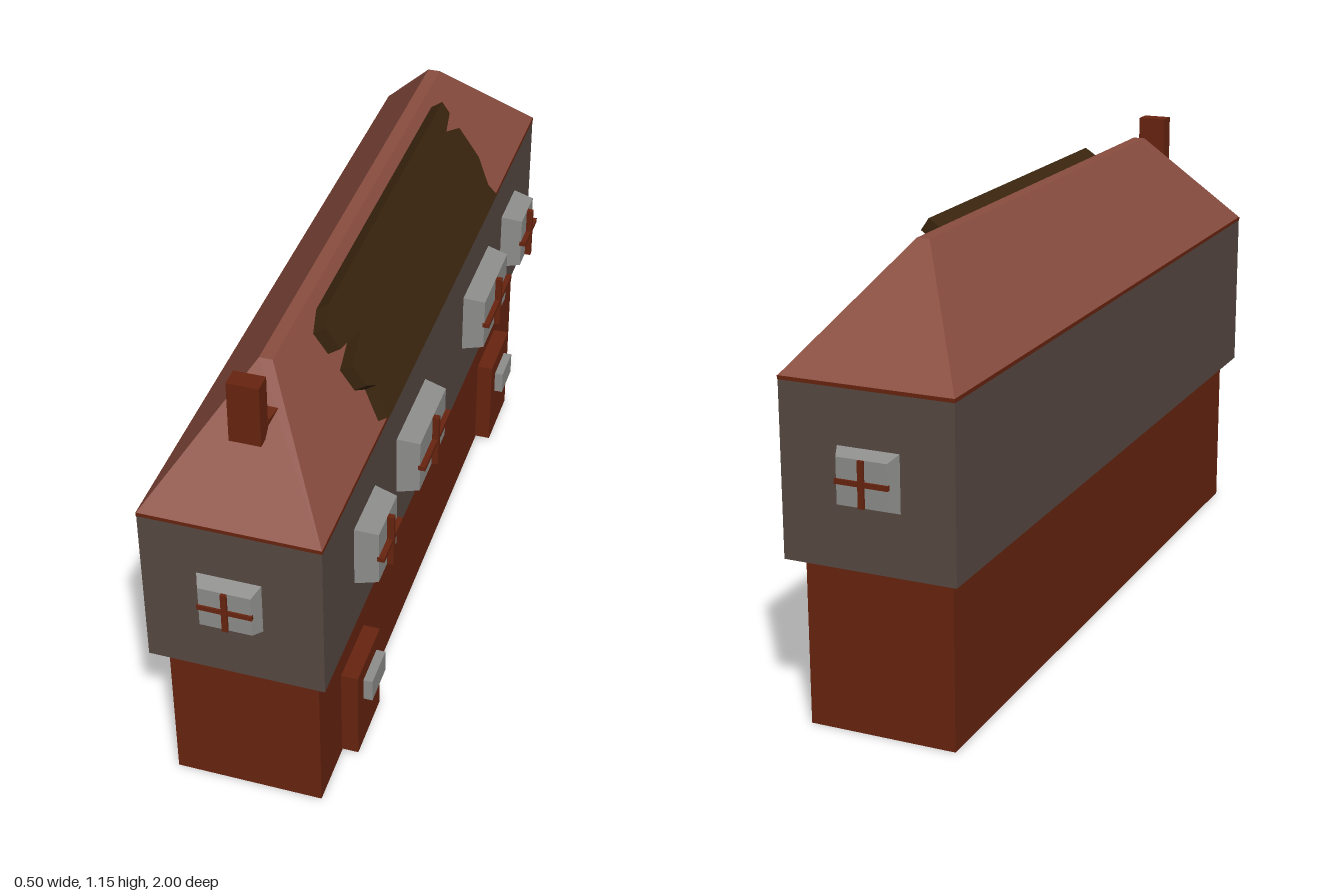
import * as THREE from 'three';
import { ConvexGeometry } from 'three/addons/geometries/ConvexGeometry.js';

const mat = (name, color) => Object.assign(new THREE.MeshStandardMaterial({ color }), { name });

export function createModel() {
  const brick = mat('brick red', 0x68240f);
  const plaster = mat('grey brown plaster', 0x584943);
  const tile = mat('roof tile', 0x8a4d40);
  const glass = mat('window grey', 0x8e8e8c);
  const wood = mat('dark wood', 0x3a250e);

  const model = new THREE.Group();
  model.name = 'house';

  const add = (name, geometry, material, parent = model) => {
    const mesh = new THREE.Mesh(geometry, material);
    mesh.name = name;
    parent.add(mesh);
    return mesh;
  };
  // Box given by its minimum and maximum corners
  const box = (name, material, [x0, y0, z0], [x1, y1, z1], parent) => {
    const mesh = add(name, new THREE.BoxGeometry(x1 - x0, y1 - y0, z1 - z0), material, parent);
    mesh.position.set((x0 + x1) / 2, (y0 + y1) / 2, (z0 + z1) / 2);
    return mesh;
  };
  const hull = (points) => new ConvexGeometry(points.map((p) => new THREE.Vector3(...p)));

  // Storeys and eaves
  box('groundFloor', brick, [-0.22, 0, -0.915], [0.148, 0.43, 0.915]);
  box('upperFloor', plaster, [-0.25, 0.42, -0.96], [0.178, 0.842, 0.96]);
  box('eaves', brick, [-0.251, 0.841, -0.961], [0.179, 0.85, 0.961]);

  // Hipped roof with a narrow flat ridge
  const roof = [];
  for (const s of [-1, 1]) {
    roof.push([-0.25, 0.85, s * 0.96], [0.178, 0.85, s * 0.96]);
    roof.push([-0.056, 1.115, s * 0.678], [-0.024, 1.115, s * 0.678]);
  }
  add('roof', hull(roof), tile);

  // Chimney and the flared piece joining it to the roof
  box('chimney', brick, [-0.075, 0.995, 0.785], [0, 1.152, 0.832]);
  add('chimneyBracket', hull([
    [-0.07, 0.998, 0.79], [-0.005, 0.998, 0.79], [-0.075, 1.035, 0.79], [0, 1.035, 0.79],
    [-0.07, 0.998, 0.755], [-0.005, 0.998, 0.755], [-0.092, 1.046, 0.75], [0.014, 1.046, 0.75],
  ]), brick);

  // Broken board lying on the right slope, outlined as [z, y]
  const outline = [
    [0.45, 1.12], [0.515, 1.10], [0.515, 1.05], [0.40, 1.03], [0.515, 1.01], [0.515, 0.96],
    [0.48, 0.94], [0.515, 0.882], [-0.48, 0.882], [-0.47, 0.915], [-0.51, 0.97],
    [-0.51, 1.05], [-0.44, 1.075], [-0.51, 1.09], [-0.51, 1.12],
  ];
  const up = new THREE.Vector3(-0.165, 0.238, 0).normalize();
  const along = new THREE.Vector3(0, 0, -1);
  const out = new THREE.Vector3().crossVectors(along, up);
  const shape = new THREE.Shape(outline.map(([z, y]) => new THREE.Vector2(-z, (y - 0.882) / up.y)));
  const board = new THREE.ExtrudeGeometry(shape, { depth: 0.036, bevelEnabled: false });
  board.applyMatrix4(new THREE.Matrix4().makeBasis(along, up, out).setPosition(0.165, 0.862, 0));
  add('roofBoard', board, wood);

  // Tapered window with a cross, built facing +z around its wall centre
  const addWindow = (name, w, h, depth, inset, barOut, position, turn) => {
    const group = new THREE.Group();
    group.name = name;
    const corners = [];
    for (const sx of [-1, 1]) for (const sy of [-1, 1]) {
      corners.push([sx * w / 2, sy * h / 2, -0.005]);
      corners.push([sx * (w / 2 - inset), sy * (h / 2 - inset), depth]);
    }
    add('windowBay', hull(corners), glass, group);
    const bx = w / 2 - inset + 0.003, by = h / 2 - inset;
    box('uprightBar', brick, [-0.007, -by, depth - 0.004], [0.007, by, barOut], group);
    box('crossBar', brick, [-bx, -0.006, depth - 0.004], [bx, 0.006, barOut - 0.002], group);
    group.position.set(...position);
    group.rotation.y = turn;
    model.add(group);
  };

  // Four windows on the long wall
  [[0.655, 0.165], [0.274, 0.25], [-0.343, 0.26], [-0.694, 0.15]].forEach(([z, w], i) =>
    addWindow(`sideWindow${i + 1}`, w, 0.166, 0.056, 0.011, 0.072, [0.178, 0.639, z], Math.PI / 2));
  // One window on each end wall
  addWindow('frontWindow', 0.157, 0.142, 0.033, 0.016, 0.04, [-0.041, 0.64, 0.96], 0);
  addWindow('backWindow', 0.157, 0.142, 0.033, 0.016, 0.04, [-0.041, 0.64, -0.96], Math.PI);

  // Doors with small projecting panes
  [[0.663, 0.18, 0.655, 0.108], [-0.625, 0.188, -0.625, 0.104]].forEach(([z, w, pz, pw], i) => {
    box(`door${i + 1}`, brick, [0.14, 0.006, z - w / 2], [0.19, 0.261, z + w / 2]);
    box(`doorPane${i + 1}`, glass, [0.185, 0.152, pz - pw / 2], [0.213, 0.215, pz + pw / 2]);
  });

  return model;
}
